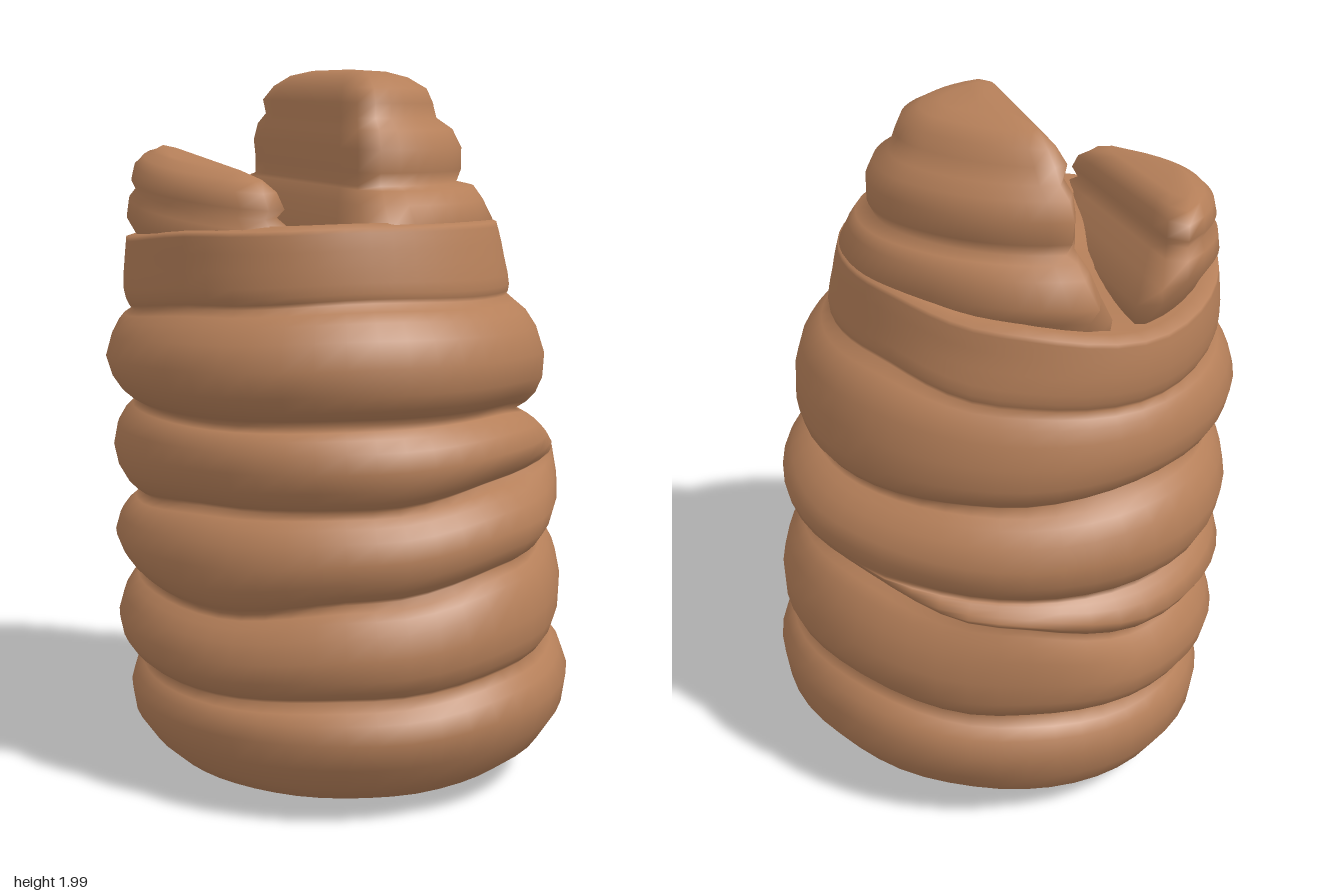
import * as THREE from 'three';

const SEG = 48;

// Outer envelope: height, then reach to -x, +x, +z, -z
const ENVELOPE = [
  [0, 0.3, 0.22, 0.28, 0.38], [0.05, 0.48, 0.42, 0.52, 0.5], [0.13, 0.57, 0.57, 0.63, 0.6],
  [0.25, 0.62, 0.66, 0.69, 0.63], [0.38, 0.63, 0.66, 0.67, 0.65], [0.55, 0.61, 0.66, 0.65, 0.65],
  [0.7, 0.62, 0.63, 0.65, 0.68], [0.93, 0.61, 0.63, 0.63, 0.68], [1.2, 0.67, 0.56, 0.61, 0.65],
  [1.31, 0.64, 0.54, 0.58, 0.64], [1.45, 0.59, 0.46, 0.49, 0.62], [1.6, 0.58, 0.425, 0.44, 0.59],
];

// Creases between the folds: height and depth at eight bearings (+x, towards +z, and round)
const CREASES = [
  { y: [0.02, 0.01, 0.01, 0, 0.01, 0.01, 0, 0.01], d: [0, 0, 0, 0, 0, 0, 0, 0] },
  { y: [0.44, 0.42, 0.38, 0.34, 0.32, 0.32, 0.35, 0.39], d: [1, 0.8, 0.8, 1, 0.8, 1, 1, 1] },
  { y: [0.77, 0.74, 0.66, 0.6, 0.55, 0.57, 0.6, 0.73], d: [1, 0.9, 0.9, 0.9, 0.8, 0.9, 1, 0.4] },
  { y: [0.84, 0.92, 0.88, 0.84, 0.83, 0.8, 0.78, 0.79], d: [0.1, 0, 1.2, 1, 1, 1, 1, 0.8] },
  { y: [1.03, 1.03, 1.07, 1.07, 1.06, 1.07, 1.08, 1.05], d: [1.1, 1.1, 1.3, 1.1, 1, 1, 1, 1] },
  { y: [1.38, 1.37, 1.37, 1.38, 1.36, 1.33, 1.32, 1.34], d: [0.5, 0.6, 0.7, 0.6, 0.7, 0.6, 0.5, 0.5] },
  { y: [1.57, 1.57, 1.57, 1.57, 1.56, 1.53, 1.5, 1.54], d: [0, 0, 0, 0, 0, 0, 0, 0] },
];

// Smooth value round the circle from eight samples
function around(list, angle) {
  const f = ((angle / (Math.PI * 2)) * 8 + 8) % 8;
  const i = Math.floor(f), t = f - i, s = t * t * (3 - 2 * t);
  return list[i % 8] * (1 - s) + list[(i + 1) % 8] * s;
}

function reachAt(y, extra = 0) {
  let k = 0;
  while (k < ENVELOPE.length - 2 && ENVELOPE[k + 1][0] < y) k++;
  const a = ENVELOPE[k], b = ENVELOPE[k + 1];
  const t = THREE.MathUtils.clamp((y - a[0]) / (b[0] - a[0]), 0, 1);
  return [1, 2, 3, 4].map((n) => a[n] + (b[n] - a[n]) * t + extra);
}

// Radius of an oval with a different reach on each side
function ovalRadius([xl, xr, zf, zb], angle) {
  const c = Math.cos(angle), s = Math.sin(angle);
  return 1 / Math.hypot(c / (c > 0 ? xr : xl), s / (s > 0 ? zf : zb));
}

// Closed skin over rings of points, with a cap at each end
function skin(rings, bottom, top) {
  const pos = [], index = [];
  rings.forEach((ring) => ring.forEach((p) => pos.push(...p)));
  const at = (j, i) => j * SEG + (i % SEG);
  for (let j = 0; j < rings.length - 1; j++) {
    for (let i = 0; i < SEG; i++) {
      const a = at(j, i), b = at(j, i + 1), c = at(j + 1, i), d = at(j + 1, i + 1);
      index.push(a, c, b, b, c, d);
    }
  }
  const low = pos.length / 3, high = low + 1, last = rings.length - 1;
  pos.push(...bottom, ...top);
  for (let i = 0; i < SEG; i++) {
    index.push(low, at(0, i), at(0, i + 1), high, at(last, i + 1), at(last, i));
  }
  const geo = new THREE.BufferGeometry();
  geo.setAttribute('position', new THREE.Float32BufferAttribute(pos, 3));
  geo.setIndex(index);
  geo.computeVertexNormals();
  return geo;
}

// Stack of sagging folds
function foldedBody() {
  const rings = [];
  const steps = [0, 0.06, 0.14, 0.28, 0.5, 0.72, 0.86, 0.94];
  const addRing = (k, t) => {
    const ring = [];
    for (let i = 0; i < SEG; i++) {
      const q = (i / SEG) * Math.PI * 2;
      const y = THREE.MathUtils.lerp(around(CREASES[k].y, q), around(CREASES[k + 1].y, q), t);
      // The nearest crease pulls the surface in
      const pinch = Math.max(...CREASES.map((crease) =>
        around(crease.d, q) * Math.exp(-Math.abs(y - around(crease.y, q)) / 0.05)));
      const r = ovalRadius(reachAt(y), q) - 0.09 * pinch + 0.005 * Math.sin(3 * q + k * 2);
      ring.push([r * Math.cos(q), y, r * Math.sin(q)]);
    }
    rings.push(ring);
  };
  for (let k = 0; k < CREASES.length - 1; k++) steps.forEach((t) => addRing(k, t));
  addRing(CREASES.length - 2, 1);
  // Rounded shoulder and shallow floor of the trough
  const rim = rings[rings.length - 1];
  [[0.94, 0.012], [0.7, 0], [0.35, -0.01]].forEach(([s, h]) =>
    rings.push(rim.map(([x, y, z]) => [x * s, y + h, z * s])));
  return skin(rings, [0, 0.005, 0], [0, 1.53, 0]);
}

// Ridge beside the diagonal trough: ovals cut straight along one side.
// rows: height, reach (four numbers), position of the cut
const ACROSS = [0.87, 0.49], ALONG = [0.49, -0.87];
function ridge(center, side, rows, tilt) {
  const offset = (x, z) => x * ACROSS[0] + z * ACROSS[1];
  const rings = rows.map(([y, reach, cut]) => {
    const ring = [];
    for (let i = 0; i < SEG; i++) {
      const q = (i / SEG) * Math.PI * 2, c = Math.cos(q), s = Math.sin(q);
      let near = 0, far = 1.2;
      for (let n = 0; n < 24; n++) {
        const r = (near + far) / 2, x = center[0] + r * c, z = center[1] + r * s;
        const inside = Math.hypot(x, z) < ovalRadius(reach, Math.atan2(z, x))
          && side * (offset(x, z) - cut) > 0;
        if (inside) near = r; else far = r;
      }
      const x = center[0] + near * c, z = center[1] + near * s;
      ring.push([x, y + tilt * (x * ALONG[0] + z * ALONG[1]), z]);
    }
    return ring;
  });
  const capY = (row, h) => row[0] + h + tilt * (center[0] * ALONG[0] + center[1] * ALONG[1]);
  return skin(rings, [center[0], capY(rows[0], 0), center[1]],
    [center[0], capY(rows[rows.length - 1], 0.005), center[1]]);
}

export function createModel() {
  const group = new THREE.Group();
  const clay = new THREE.MeshStandardMaterial({ color: 0xb57f59 });
  clay.name = 'brown clay';
  const add = (name, geometry) => {
    const mesh = new THREE.Mesh(geometry, clay);
    mesh.name = name;
    group.add(mesh);
  };

  add('foldedBody', foldedBody());

  // Tall ridge: shoulder, overhanging fold and domed crest
  add('tallRidge', ridge([0.12, -0.04], 1, [
    [1.42, reachAt(1.6, -0.06), -0.16],
    [1.53, reachAt(1.6, -0.03), -0.15],
    [1.58, reachAt(1.59), -0.13],
    [1.64, [0.4, 0.405, 0.41, 0.53], -0.11],
    [1.675, [0.37, 0.39, 0.38, 0.5], -0.09],
    [1.685, [0.36, 0.345, 0.33, 0.46], -0.085],
    [1.72, [0.37, 0.365, 0.34, 0.48], -0.085],
    [1.78, [0.37, 0.365, 0.34, 0.49], -0.085],
    [1.83, [0.36, 0.35, 0.31, 0.47], -0.08],
    [1.86, [0.32, 0.315, 0.26, 0.44], -0.065],
    [1.9, [0.32, 0.285, 0.26, 0.43], -0.07],
    [1.94, [0.29, 0.27, 0.24, 0.4], -0.05],
    [1.97, [0.23, 0.23, 0.18, 0.35], -0.02],
    [1.985, [0.16, 0.18, 0.11, 0.27], 0.02],
  ], 0.04));

  // Low ridge on the other side of the trough, rising to the back
  add('lowRidge', ridge([-0.4, -0.27], -1, [
    [1.42, reachAt(1.6, -0.06), -0.22],
    [1.5, reachAt(1.6, -0.03), -0.23],
    [1.56, [0.58, 0.4, 0.4, 0.6], -0.27],
    [1.61, [0.57, 0.4, 0.38, 0.595], -0.31],
    [1.635, [0.55, 0.4, 0.35, 0.575], -0.33],
    [1.66, [0.56, 0.4, 0.37, 0.59], -0.32],
    [1.7, [0.545, 0.4, 0.35, 0.585], -0.33],
    [1.725, [0.52, 0.4, 0.32, 0.56], -0.35],
    [1.74, [0.48, 0.4, 0.3, 0.53], -0.38],
  ], 0.12));

  return group;
}
